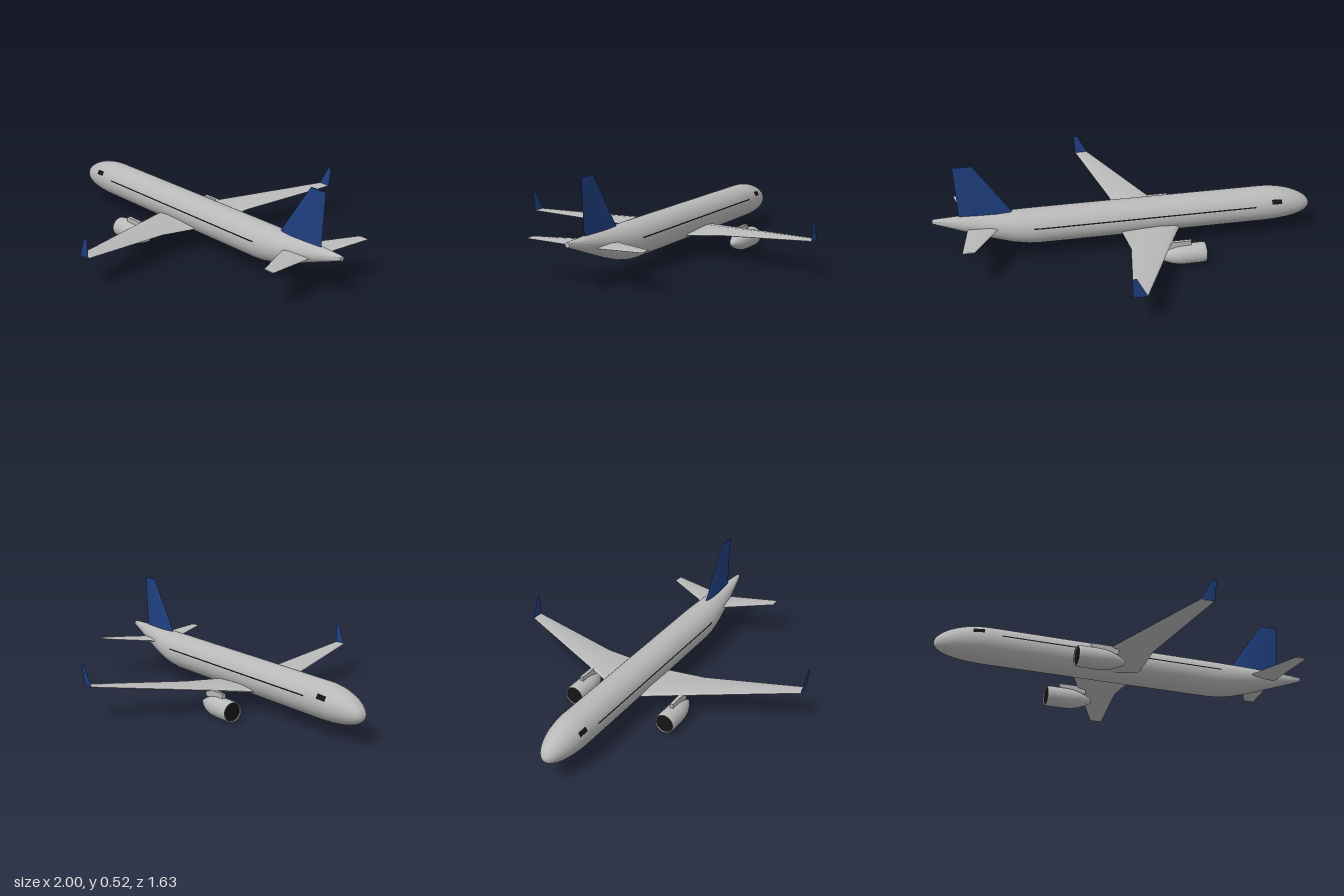
import * as THREE from 'three';
import { toCreasedNormals } from 'three/addons/utils/BufferGeometryUtils.js';

const mat = (name, color, side = THREE.FrontSide) => {
  const m = new THREE.MeshStandardMaterial({ color, side });
  m.name = name;
  return m;
};

// Fuselage stations: x, centre height, radius
const R = 0.0925;
const stations = [];
for (let i = 0; i <= 14; i++) {
  const a = (i / 14) * Math.PI / 2;
  const x = -0.73 - 0.27 * Math.cos(a);
  stations.push([x, 0.159 - 0.021 * Math.cos(a) ** 2, Math.max(R * Math.sin(a), 0.0005)]);
}
stations.push([-0.3, 0.159, R], [0.1, 0.159, R], [0.46, 0.159, R], [0.52, 0.161, 0.0905],
  [0.6, 0.168, 0.083], [0.7, 0.183, 0.068], [0.85, 0.209, 0.0405], [1, 0.234, 0.012]);

// Point on the fuselage skin; angle 0 points to +z, PI/2 points up
function skinPoint(x, angle, lift = 0) {
  let i = 1;
  while (i < stations.length - 1 && stations[i][0] < x) i++;
  const [a, b] = [stations[i - 1], stations[i]];
  const t = (x - a[0]) / (b[0] - a[0]);
  const y = a[1] + (b[1] - a[1]) * t;
  const r = a[2] + (b[2] - a[2]) * t + lift;
  return [x, y + r * Math.sin(angle), r * Math.cos(angle)];
}

// Join closed rings of points into a capped solid, facing outward
function loft(rings, crease) {
  const n = rings[0].length, tris = [];
  const last = rings.length - 1;
  for (let i = 0; i < last; i++) {
    for (let j = 0; j < n; j++) {
      const k = (j + 1) % n;
      const [a, b, c, d] = [rings[i][j], rings[i][k], rings[i + 1][k], rings[i + 1][j]];
      tris.push([a, b, c], [a, c, d]);
    }
  }
  for (let j = 1; j < n - 1; j++) {
    tris.push([rings[0][0], rings[0][j + 1], rings[0][j]]);
    tris.push([rings[last][0], rings[last][j], rings[last][j + 1]]);
  }
  const o = new THREE.Vector3(...rings[0][0]);
  let volume = 0;
  for (const t of tris) {
    const [a, b, c] = t.map(p => new THREE.Vector3(...p).sub(o));
    volume += a.dot(b.cross(c));
  }
  if (volume < 0) tris.forEach(t => t.reverse());
  const g = new THREE.BufferGeometry();
  g.setAttribute('position', new THREE.Float32BufferAttribute(tris.flat(2), 3));
  return toCreasedNormals(g, crease);
}

// Aerofoil ring between a leading and trailing x, thick along y or z
const FOIL = [[0, 0], [0.06, 0.28], [0.3, 0.5], [0.6, 0.4], [0.95, 0.17],
  [1, 0], [0.95, -0.17], [0.6, -0.4], [0.3, -0.5], [0.06, -0.28]];
const foil = (le, te, y, z, thick, axis) => FOIL.map(([t, h]) => [
  le + (te - le) * t,
  y + (axis === 'y' ? h * thick : 0),
  z + (axis === 'z' ? h * thick : 0),
]);

// Thin painted patch that follows the fuselage skin on one side
function skinPatch(x0, x1, a0, a1, s, nx) {
  const g = new THREE.PlaneGeometry(1, 1, nx, 4);
  const p = g.attributes.position;
  for (let i = 0; i < p.count; i++) {
    const x = x0 + (x1 - x0) * (p.getX(i) + 0.5);
    const a = a0 + (a1 - a0) * (p.getY(i) + 0.5);
    const [px, py, pz] = skinPoint(x, a, 0.0015);
    p.setXYZ(i, px, py, s * pz);
  }
  g.computeVertexNormals();
  return g;
}

export function createModel() {
  const model = new THREE.Group();
  model.name = 'airliner';
  const grey = mat('bodyGrey', 0xb9b9b9);
  const blue = mat('tailBlue', 0x1f3f80);
  const black = mat('glassBlack', 0x141414, THREE.DoubleSide);

  const add = (parent, name, geometry, material) => {
    const m = new THREE.Mesh(geometry, material);
    m.name = name;
    parent.add(m);
    return m;
  };

  // Fuselage
  const rings = stations.map(([x, y, r]) => Array.from({ length: 40 }, (_, j) => {
    const a = (j / 40) * Math.PI * 2;
    return [x, y + r * Math.sin(a), r * Math.cos(a)];
  }));
  add(model, 'fuselage', loft(rings, 0.7), grey);

  // Tail fin
  add(model, 'tailFin', loft([
    foil(0.566, 0.864, 0.21, 0, 0.03, 'z'),
    foil(0.786, 0.882, 0.522, 0, 0.008, 'z'),
  ], 0.3), blue);

  for (const s of [1, -1]) {
    const side = new THREE.Group();
    side.name = s > 0 ? 'nearSide' : 'farSide';
    model.add(side);

    // Wing with a kinked trailing edge
    add(side, 'wing', loft([
      foil(-0.301, 0.042, 0.100, 0, 0.042, 'y'),
      foil(-0.169, 0.036, 0.126, s * 0.288, 0.026, 'y'),
      foil(0.067, 0.136, 0.171, s * 0.806, 0.008, 'y'),
    ], 0.3), grey);

    // Upturned wing tip
    add(side, 'winglet', loft([
      foil(0.067, 0.137, 0.169, s * 0.805, 0.007, 'z'),
      foil(0.122, 0.144, 0.272, s * 0.814, 0.003, 'z'),
    ], 0.3), blue);

    // Tailplane
    add(side, 'tailplane', loft([
      foil(0.645, 0.823, 0.186, s * 0.01, 0.02, 'y'),
      foil(0.815, 0.875, 0.208, s * 0.313, 0.006, 'y'),
    ], 0.3), grey);

    // Engine: nacelle with a recessed dark intake
    const engine = new THREE.Group();
    engine.name = 'engine';
    engine.position.set(-0.355, 0.0525, s * 0.265);
    side.add(engine);
    const profile = [[0.045, 0.012], [0.047, 0.001], [0.05, 0], [0.0525, 0.02], [0.0525, 0.11],
      [0.05, 0.145], [0.042, 0.18], [0.028, 0.215], [0.011, 0.247], [0, 0.25]]
      .map(([r, l]) => new THREE.Vector2(r, l));
    const nacelle = new THREE.LatheGeometry(profile, 32);
    add(engine, 'nacelle', nacelle.rotateZ(-Math.PI / 2), grey);
    const intake = add(engine, 'intake', new THREE.CircleGeometry(0.0465, 32), black);
    intake.rotation.y = -Math.PI / 2;
    intake.position.x = 0.006;

    // Pylon
    const pylon = add(side, 'pylon', new THREE.BoxGeometry(0.14, 0.04, 0.018), grey);
    pylon.position.set(-0.21, 0.108, s * 0.265);

    // Cabin window line and cockpit window
    add(side, 'cabinWindows', skinPatch(-0.68, 0.495, 0.21, 0.28, s, 40), black);
    add(side, 'cockpitWindow', skinPatch(-0.824, -0.768, 0.32, 0.6, s, 6), black);
  }
  return model;
}
